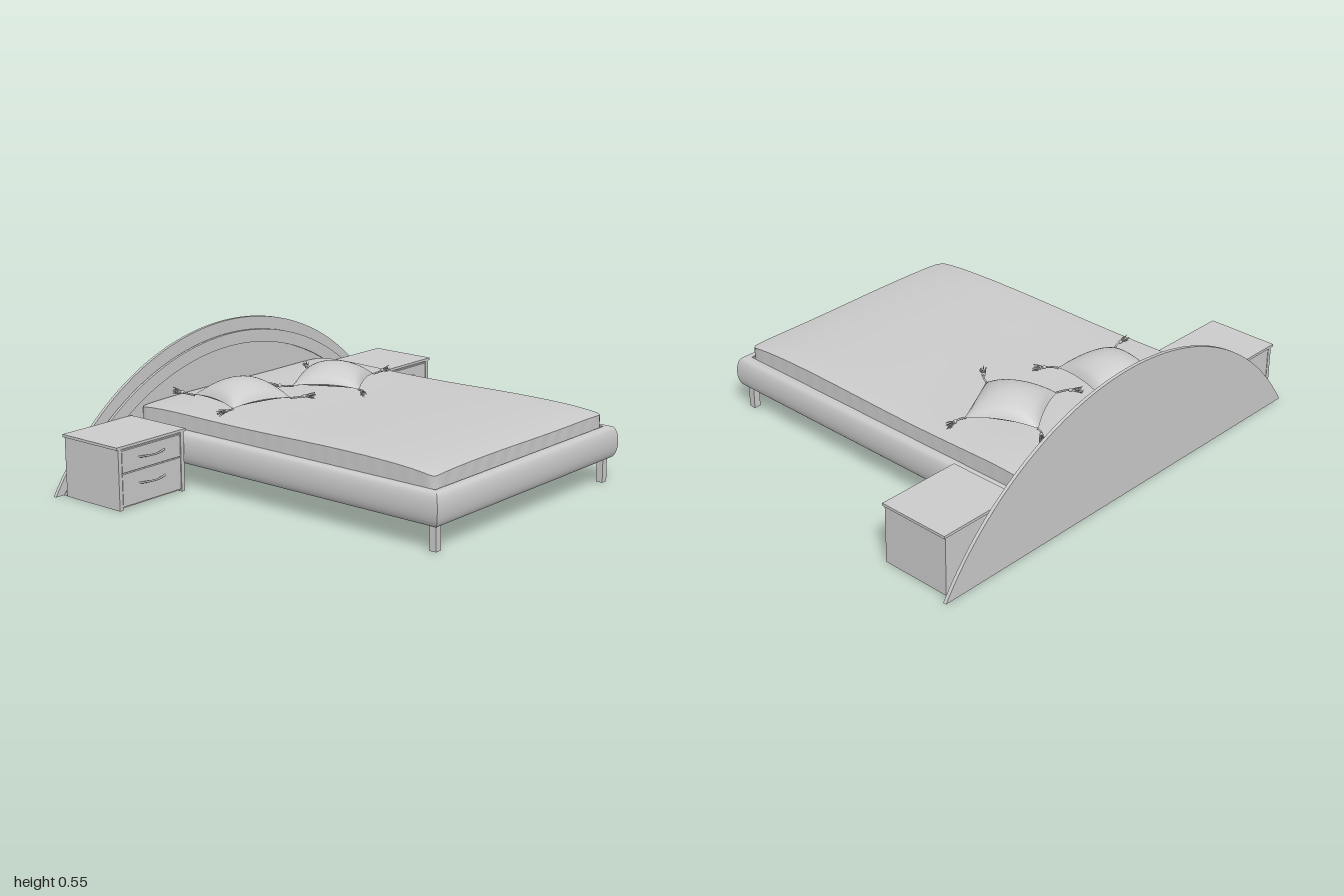
import * as THREE from 'three';
import { toCreasedNormals } from 'three/addons/utils/BufferGeometryUtils.js';

const material = new THREE.MeshStandardMaterial({ color: 0xcccccc });
const thin = new THREE.MeshStandardMaterial({ color: 0xcccccc, side: THREE.DoubleSide });

function add(parent, name, geometry, mat = material) {
  const mesh = new THREE.Mesh(geometry, mat);
  mesh.name = name;
  parent.add(mesh);
  return mesh;
}

// Box given by its limits on each axis
function box(parent, name, x0, x1, y0, y1, z0, z1) {
  const mesh = add(parent, name, new THREE.BoxGeometry(x1 - x0, y1 - y0, z1 - z0));
  mesh.position.set((x0 + x1) / 2, (y0 + y1) / 2, (z0 + z1) / 2);
  return mesh;
}

// Arched board standing on the floor; a band width makes it an open arch
function archBoard(parent, name, radius, centreY, z0, z1, band = 0) {
  const shape = new THREE.Shape();
  const a = Math.asin(-centreY / radius);
  shape.absarc(0, centreY, radius, a, Math.PI - a, false);
  if (band) {
    const r = radius - band, b = Math.asin(-centreY / r);
    shape.absarc(0, centreY, r, Math.PI - b, b, true);
  }
  shape.closePath();
  const geo = new THREE.ExtrudeGeometry(shape, { depth: z1 - z0, bevelEnabled: false, curveSegments: 56 });
  geo.translate(0, 0, z0);
  return add(parent, name, toCreasedNormals(geo, 0.5));
}

function makeHeadboard() {
  const g = new THREE.Group();
  g.name = 'headboard';
  const R = 1.184;
  archBoard(g, 'backBoard', R, -0.634, -0.797, -0.783);
  archBoard(g, 'innerPanel', R - 0.01, -0.689, -0.784, -0.771);
  archBoard(g, 'archTrim', R, -0.689, -0.777, -0.765, 0.055);
  return g;
}

// Bulging rail swept around the sides and foot with mitred corners
function railGeometry() {
  const profile = [[-0.045, 0.1], [-0.02, 0.1]];
  for (let i = 0; i <= 14; i++) {
    const t = -Math.PI / 2 + (Math.PI * i) / 14;
    profile.push([-0.022 + 0.022 * Math.cos(t), 0.165 + 0.065 * Math.sin(t)]);
  }
  profile.push([-0.045, 0.23]);
  const rings = [[-1, 0], [-1, 1], [1, 1], [1, 0]].map(([sx, foot]) =>
    profile.map(([d, y]) => [sx * (0.598 + d), y, foot ? 0.797 + d : -0.77]));
  const pos = [];
  const n = profile.length;
  for (let j = 0; j < 3; j++) {
    for (let i = 0; i < n; i++) {
      const k = (i + 1) % n;
      const [a, b, c, d] = [rings[j][i], rings[j + 1][i], rings[j + 1][k], rings[j][k]];
      pos.push(...a, ...b, ...c, ...a, ...c, ...d);
    }
  }
  const geo = new THREE.BufferGeometry();
  geo.setAttribute('position', new THREE.Float32BufferAttribute(pos, 3));
  return toCreasedNormals(geo, 0.6);
}

// Soft mattress: gently wavy top, pleated sides, rounded plan corners
const mattressTop = (x, z) => 0.3 + 0.005 * Math.cos((z - 0.38) * 5) + 0.002 * Math.sin(x * 7 + z * 4)
  - 0.015 * Math.pow(Math.abs(z) / 0.755, 8) - 0.006 * Math.pow(Math.abs(x) / 0.55, 8);

function mattressGeometry() {
  const hx = 0.552, hz = 0.755, r = 0.025;
  const geo = new THREE.BoxGeometry(2 * hx, 1, 2 * hz, 60, 4, 80);
  const p = geo.attributes.position;
  for (let i = 0; i < p.count; i++) {
    let x = p.getX(i), z = p.getZ(i);
    const t = p.getY(i) + 0.5;
    const side = Math.abs(x) > hx - 1e-4 || Math.abs(z) > hz - 1e-4;
    const y = 0.2 + t * (mattressTop(x, z) - 0.2);
    const dx = Math.abs(x) - (hx - r), dz = Math.abs(z) - (hz - r);
    if (dx > 0 && dz > 0) {
      const s = Math.max(dx, dz) / Math.hypot(dx, dz);
      x = Math.sign(x) * (hx - r + dx * s);
      z = Math.sign(z) * (hz - r + dz * s);
    }
    if (side && t < 0.9) {
      const f = 1 + 0.002 * Math.sin(x * 71 + z * 83) * Math.sin(t * 3);
      x *= f;
      z *= f;
    }
    p.setXYZ(i, x, y, z - 0.008);
  }
  return toCreasedNormals(geo, 0.7);
}

function makeBed() {
  const g = new THREE.Group();
  g.name = 'bed';
  add(g, 'frameRail', railGeometry());
  box(g, 'bedBase', -0.556, 0.556, 0.112, 0.225, -0.77, 0.755);
  add(g, 'mattress', mattressGeometry());
  for (const s of [-1, 1]) box(g, 'frontLeg', s * 0.55 - 0.015, s * 0.55 + 0.015, 0, 0.115, 0.737, 0.767);
  return g;
}

function makeNightstand(s) {
  const g = new THREE.Group();
  g.name = s > 0 ? 'leftNightstand' : 'rightNightstand';
  const x0 = 0.612, x1 = 0.962, zb = -0.76, zf = -0.457;
  box(g, 'sidePanel', x0, x0 + 0.017, 0, 0.245, zb, zf);
  box(g, 'sidePanel', x1 - 0.017, x1, 0, 0.245, zb, zf);
  box(g, 'carcass', x0 + 0.01, x1 - 0.01, 0.004, 0.245, zb + 0.002, zf - 0.012);
  box(g, 'top', 0.603, 0.971, 0.245, 0.256, zb - 0.003, zf + 0.003);
  for (const [y0, y1, hy] of [[0.012, 0.142, 0.09], [0.147, 0.236, 0.195]]) {
    box(g, 'drawerFront', x0 + 0.02, x1 - 0.02, y0, y1, zf - 0.014, zf - 0.001);
    // Bowed handle
    const curve = new THREE.QuadraticBezierCurve3(
      new THREE.Vector3(0.717, hy, zf - 0.003),
      new THREE.Vector3(0.787, hy, zf + 0.04),
      new THREE.Vector3(0.857, hy, zf - 0.003));
    add(g, 'handle', new THREE.TubeGeometry(curve, 16, 0.004, 8));
  }
  // The cabinet is symmetric, so shifting it mirrors it
  if (s < 0) g.position.x = -(x0 + x1);
  return g;
}

// Cushion: square with slightly drawn-in sides, domed above, shallow below
function cushionGeometry(half) {
  const n = 24;
  const geo = new THREE.BoxGeometry(2, 2, 2, n, 1, n);
  const p = geo.attributes.position;
  for (let i = 0; i < p.count; i++) {
    const u = p.getX(i), v = p.getZ(i), up = p.getY(i) > 0;
    const a = Math.max(0, 1 - u * u), b = Math.max(0, 1 - v * v);
    const dome = Math.pow(a * b, 0.6);
    const edge = 0.008 + 0.012 * Math.max(a, b) * (1 - dome);
    p.setXYZ(i, u * half * (1 - 0.05 * b), up ? edge + 0.08 * dome : edge - 0.014 * dome, v * half * (1 - 0.05 * a));
  }
  return toCreasedNormals(geo, 0.9);
}

// Corner tassel along +x: curved cord, knot and a spray of threads
function makeTassel(bend) {
  const g = new THREE.Group();
  g.name = 'tassel';
  const V = (x, y, z) => new THREE.Vector3(x, y, z);
  const cord = new THREE.QuadraticBezierCurve3(V(-0.005, 0, 0), V(0.03, 0.004, 0), V(0.05, 0.006, bend * 0.016));
  add(g, 'cord', new THREE.TubeGeometry(cord, 8, 0.004, 6));
  const knot = add(g, 'knot', new THREE.SphereGeometry(0.008, 10, 8));
  knot.position.set(0.05, 0.006, bend * 0.016);
  for (let i = 0; i < 14; i++) {
    const a = i * 2.4, spread = 0.005 + 0.014 * ((i * 5) % 14) / 14;
    const length = 0.036 + 0.012 * ((i * 3) % 7) / 7;
    const start = V(0.048, 0.006, bend * 0.016);
    const end = V(0.048 + length, 0.006 + spread * Math.sin(a) * 0.8, bend * 0.032 + spread * Math.cos(a));
    const mid = start.clone().lerp(end, 0.5).add(V(0, Math.sin(a) * 0.005, Math.cos(a) * 0.006));
    add(g, 'thread', new THREE.TubeGeometry(new THREE.QuadraticBezierCurve3(start, mid, end), 4, 0.0016, 4), thin);
  }
  return g;
}

function makeCushion(name, x, z, turn, bends) {
  const g = new THREE.Group();
  g.name = name;
  const half = 0.144;
  add(g, 'cushionBody', cushionGeometry(half));
  bends.forEach((bend, i) => {
    const tassel = makeTassel(bend);
    const a = Math.PI / 4 + (i * Math.PI) / 2;
    tassel.position.set(half * Math.SQRT2 * Math.cos(a), 0.007, half * Math.SQRT2 * Math.sin(a));
    tassel.rotation.y = -a;
    g.add(tassel);
  });
  g.position.set(x, 0.302, z);
  g.rotation.y = turn;
  return g;
}

export function createModel() {
  const model = new THREE.Group();
  model.name = 'bedroomSet';
  model.add(makeHeadboard(), makeBed(), makeNightstand(1), makeNightstand(-1));
  model.add(makeCushion('rightCushion', -0.243, -0.484, -0.22, [-1, 1, 1, -1]));
  model.add(makeCushion('leftCushion', 0.209, -0.38, 0.47, [-1, 1, 1, 1]));
  return model;
}
